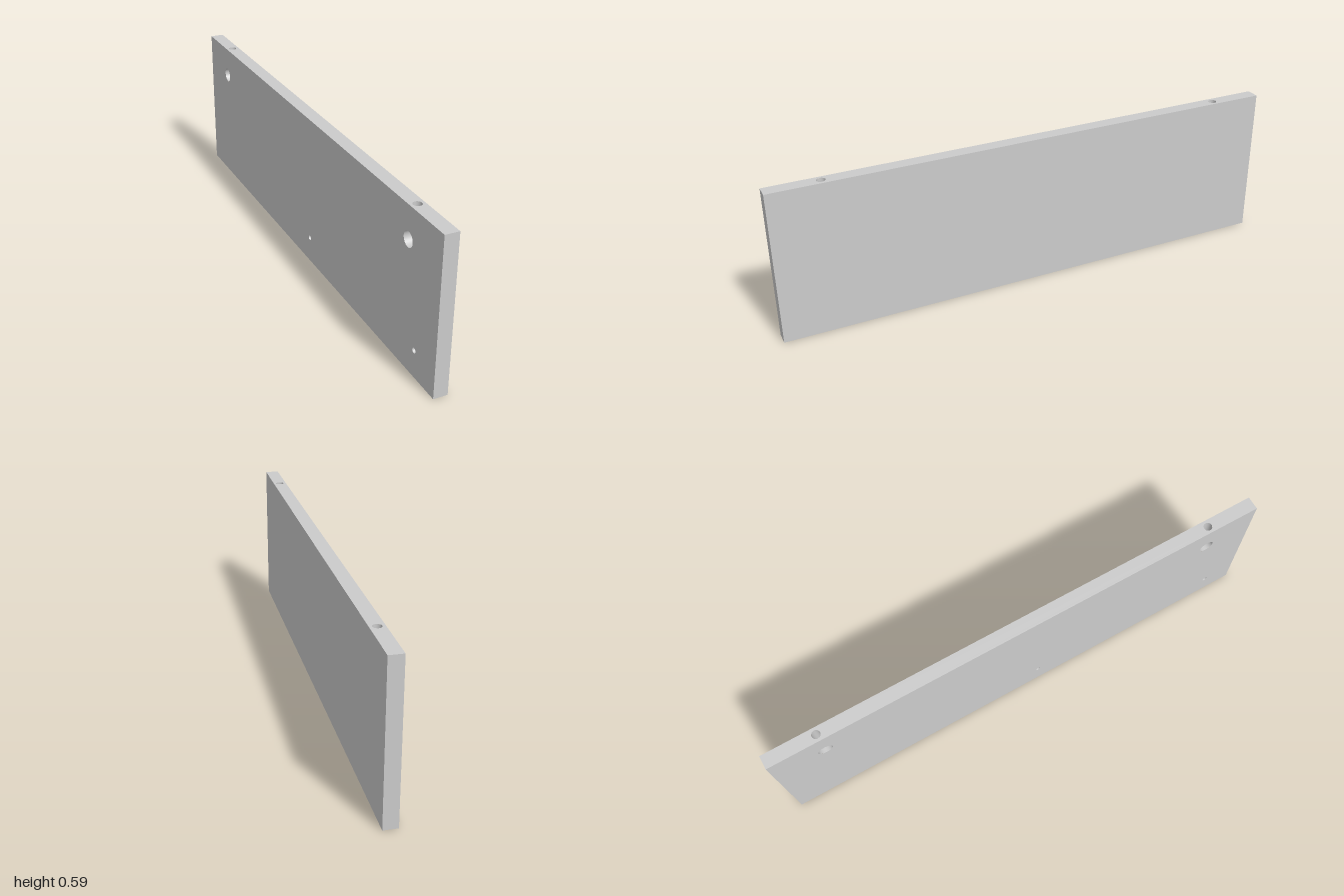
import * as THREE from 'three';

const T = 0.053, H = 0.59, L = 2; // thickness (x), height (y), length (z)
const SEG = 32;
const grey = new THREE.MeshStandardMaterial({ color: 0xcccccc });
const inner = new THREE.MeshStandardMaterial({ color: 0xcccccc, side: THREE.BackSide });

function named(name, geometry, material = grey) {
  const mesh = new THREE.Mesh(geometry, material);
  mesh.name = name;
  return mesh;
}

// Blind hole sunk along local -z from a face
function bore({ name, u, v, r, depth }) {
  const group = new THREE.Group();
  group.name = name;
  const wall = new THREE.CylinderGeometry(r, r, depth, SEG, 1, true);
  wall.rotateX(Math.PI / 2).translate(0, 0, -depth / 2);
  const floor = new THREE.CircleGeometry(r, SEG).translate(0, 0, -depth);
  group.add(named(name + 'Wall', wall, inner), named(name + 'Floor', floor));
  group.position.set(u, v, 0);
  return group;
}

// Flat panel face looking along local +z, pierced by its bores
function face(name, w, h, holes = []) {
  const shape = new THREE.Shape();
  shape.moveTo(-w / 2, -h / 2).lineTo(w / 2, -h / 2).lineTo(w / 2, h / 2).lineTo(-w / 2, h / 2).closePath();
  for (const { u, v, r } of holes) {
    shape.holes.push(new THREE.Path().absarc(u, v, r, 0, Math.PI * 2, true));
  }
  const group = new THREE.Group();
  group.name = name;
  group.add(named(name + 'Surface', new THREE.ShapeGeometry(shape, SEG)), ...holes.map(bore));
  return group;
}

export function createModel() {
  const model = new THREE.Group();
  model.name = 'drilledPanel';

  const place = (part, x, y, z, rx, ry) => {
    part.position.set(x, y, z);
    part.rotation.set(rx, ry, 0);
    model.add(part);
  };

  // Fastener sockets near the top edge, pilot holes lower down
  const sideHoles = [
    ...[-0.8, 0.8].map(u => ({ name: 'fastenerSocket', u, v: 0.472 - H / 2, r: 0.028, depth: 0.04 })),
    ...[0.07, 0.87].map(u => ({ name: 'pilotHole', u, v: 0.1 - H / 2, r: 0.01, depth: 0.035 })),
  ];
  // Bores in the long edges; the upper ones reach the sockets
  const edgeHoles = (name, r, depth) => [-0.8, 0.8].map(v => ({ name, u: 0, v, r, depth }));

  const q = Math.PI / 2;
  place(face('drilledSide', L, H, sideHoles), -T / 2, H / 2, 0, 0, -q);
  place(face('plainSide', L, H), T / 2, H / 2, 0, 0, q);
  place(face('topEdge', T, L, edgeHoles('boltBore', 0.016, 0.09)), 0, H, 0, -q, 0);
  place(face('bottomEdge', T, L, edgeHoles('dowelBore', 0.012, 0.08)), 0, 0, 0, q, 0);
  place(face('frontEnd', T, H), 0, H / 2, L / 2, 0, 0);
  place(face('backEnd', T, H), 0, H / 2, -L / 2, 0, Math.PI);
  return model;
}
